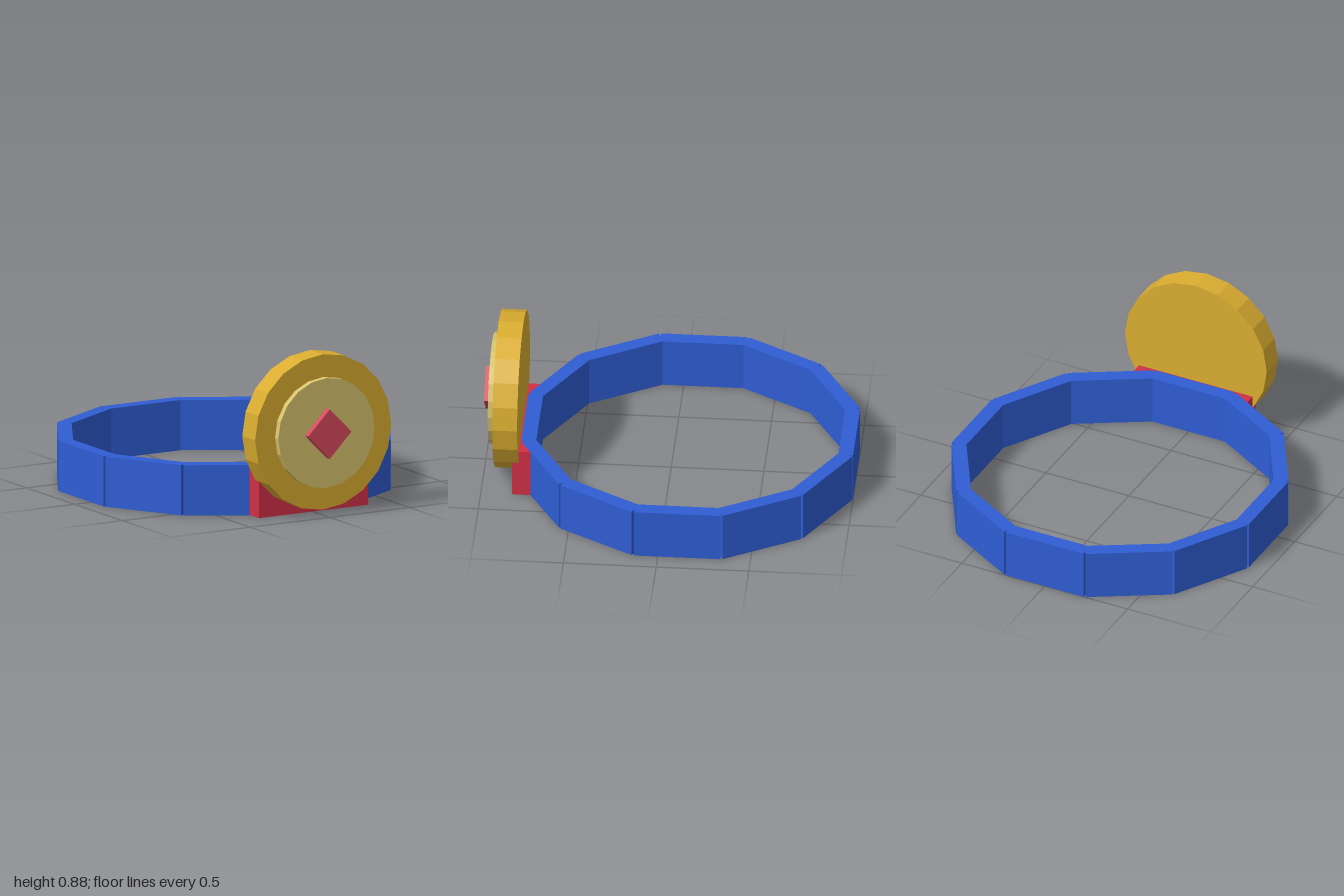
import * as THREE from 'three';

const mat = (name, color) => {
  const m = new THREE.MeshStandardMaterial({ color, flatShading: true });
  m.name = name;
  return m;
};

export function createModel() {
  const blue = mat('blue', 0x2f5dd3);
  const red = mat('red', 0xd03046);
  const gold = mat('gold', 0xdaad30);
  const pale = mat('pale gold', 0xd8c36c);
  const gem = mat('rose', 0xd94a60);

  const group = new THREE.Group();
  group.name = 'beltWithBuckle';

  const add = (name, geometry, material, x, y, z, parent = group) => {
    const mesh = new THREE.Mesh(geometry, material);
    mesh.name = name;
    mesh.position.set(x, y, z);
    parent.add(mesh);
    return mesh;
  };

  // Belt: twelve straight segments around a ring
  const belt = new THREE.Group();
  belt.name = 'belt';
  belt.position.set(0, 0.138, -0.105);
  group.add(belt);
  const segment = new THREE.BoxGeometry(0.466, 0.276, 0.08);
  for (let i = 0; i < 12; i++) {
    const a = (i * Math.PI) / 6;
    const s = add('beltSegment', segment, blue, Math.sin(a) * 0.855, 0, Math.cos(a) * 0.855, belt);
    s.rotation.y = a;
  }

  // Backing plate behind the buckle
  add('backingPlate', new THREE.BoxGeometry(0.685, 0.272, 0.1), red, 0, 0.138, 0.78);

  // Stacked buckle discs, facing +z
  const disc = (name, radius, sides, back, front, material) => {
    const geometry = new THREE.CylinderGeometry(radius, radius, front - back, sides);
    geometry.rotateX(Math.PI / 2);
    add(name, geometry, material, 0, 0.457, (back + front) / 2);
  };
  disc('buckleDisc', 0.427, 20, 0.797, 0.931, gold);
  disc('buckleInset', 0.302, 20, 0.9, 0.966, pale);
  disc('buckleGem', 0.136, 4, 0.93, 1.0, gem);

  return group;
}
